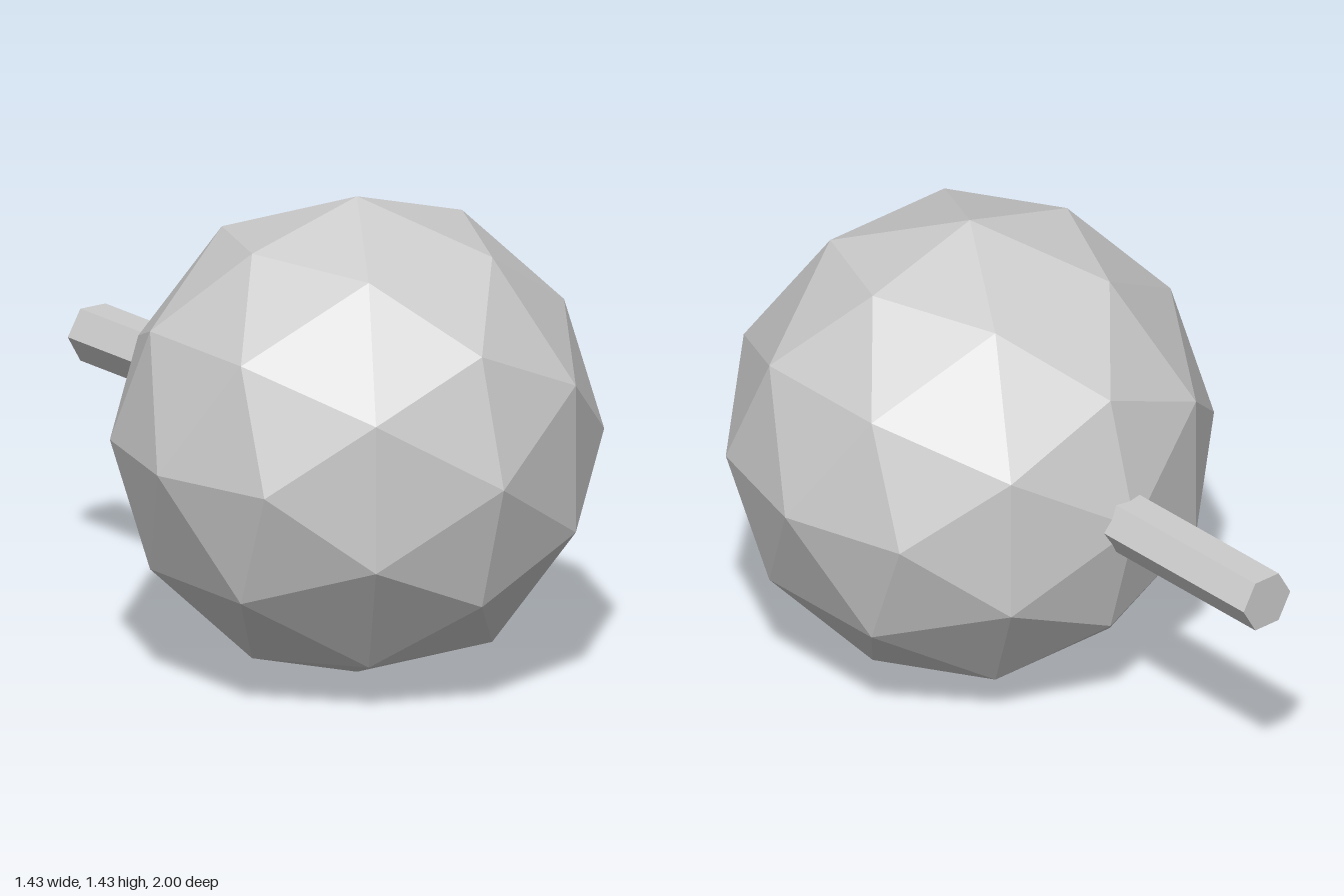
import * as THREE from 'three';

export function createModel() {
  const group = new THREE.Group();
  const grey = new THREE.MeshStandardMaterial({ color: 0xcccccc, flatShading: true });
  grey.name = 'light grey';

  // Faceted ball
  const radius = 0.715;
  const ball = new THREE.Mesh(new THREE.IcosahedronGeometry(radius, 1), grey);
  ball.name = 'ball';
  ball.position.set(0, radius, 1 - radius);
  group.add(ball);

  // Hexagonal stick pointing backwards, sunk a little into the ball
  const front = -0.36, back = -1;
  const stickGeometry = new THREE.CylinderGeometry(0.09, 0.09, front - back, 6, 1, false, Math.PI / 2);
  stickGeometry.rotateX(Math.PI / 2);
  const stick = new THREE.Mesh(stickGeometry, grey);
  stick.name = 'stick';
  stick.position.set(0, radius, (front + back) / 2);
  group.add(stick);

  return group;
}
